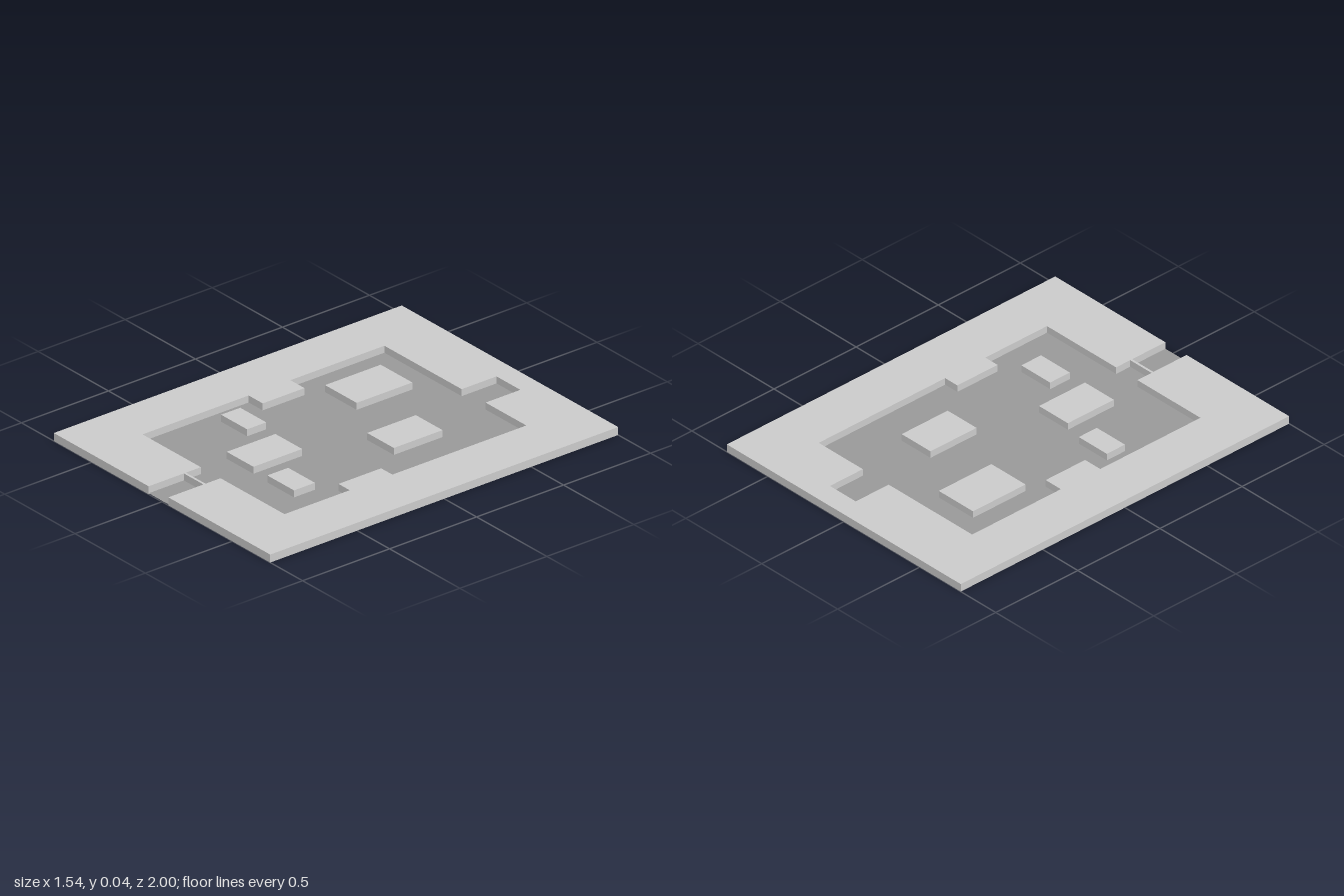
import * as THREE from 'three';

const TOP = 0.04, FLOOR = 0.005;
const grey = new THREE.MeshStandardMaterial({ color: 0xcccccc, side: THREE.DoubleSide });
const dark = new THREE.MeshStandardMaterial({ color: 0x999999, side: THREE.DoubleSide });

// Shell open at the bottom: flat top plus vertical walls around an [x, z] outline
function shell(name, outline) {
  let pts = outline.map(([x, z]) => new THREE.Vector2(x, -z));
  if (THREE.ShapeUtils.isClockWise(pts)) pts = pts.reverse();
  const pos = [];
  for (const tri of THREE.ShapeUtils.triangulateShape(pts, [])) {
    for (const i of tri) pos.push(pts[i].x, TOP, -pts[i].y);
  }
  pts.forEach((a, i) => {
    const b = pts[(i + 1) % pts.length];
    pos.push(a.x, 0, -a.y, b.x, 0, -b.y, b.x, TOP, -b.y);
    pos.push(a.x, 0, -a.y, b.x, TOP, -b.y, a.x, TOP, -a.y);
  });
  const geo = new THREE.BufferGeometry();
  geo.setAttribute('position', new THREE.Float32BufferAttribute(pos, 3));
  geo.computeVertexNormals();
  const mesh = new THREE.Mesh(geo, grey);
  mesh.name = name;
  return mesh;
}

const rect = (x0, x1, z0, z1) => [[x0, z0], [x0, z1], [x1, z1], [x1, z0]];

export function createModel() {
  const group = new THREE.Group();
  group.name = 'walledCourtyard';

  // Raised surround, in two halves either side of the passages
  group.add(shell('rightSurround', [
    [-0.77, -1], [0.04, -1], [0.04, -0.69], [-0.51, -0.69], [-0.51, -0.15], [-0.41, -0.15],
    [-0.41, 0.09], [-0.51, 0.09], [-0.51, 0.7], [-0.095, 0.7], [-0.095, 1], [-0.77, 1],
  ]));
  group.add(shell('leftSurround', [
    [0.77, -1], [0.77, 1], [0.045, 1], [0.045, 0.7], [0.5, 0.7], [0.5, 0.325],
    [0.42, 0.325], [0.42, 0.08], [0.5, 0.08], [0.5, -0.69], [0.21, -0.69], [0.21, -1],
  ]));

  // Plug closing the back passage and thin gate across the front one
  group.add(shell('backPlug', rect(0.04, 0.21, -1, -0.89)));
  group.add(shell('frontGate', rect(-0.095, 0.045, 0.786, 0.798)));

  // Sunken floor
  const floor = new THREE.Mesh(new THREE.PlaneGeometry(1.16, 2).rotateX(-Math.PI / 2), dark);
  floor.position.y = FLOOR;
  floor.name = 'floor';
  group.add(floor);

  // Free-standing blocks: x0, x1, z0, z1
  const blocks = [
    [-0.375, -0.15, -0.56, -0.24], [0.11, 0.3, -0.37, -0.09], [-0.44, -0.255, 0.195, 0.305],
    [-0.14, 0.05, 0.235, 0.515], [0.155, 0.345, 0.4, 0.52],
  ];
  const base = FLOOR - 0.002;
  blocks.forEach(([x0, x1, z0, z1], i) => {
    const block = new THREE.Mesh(new THREE.BoxGeometry(x1 - x0, TOP - base, z1 - z0), grey);
    block.position.set((x0 + x1) / 2, (TOP + base) / 2, (z0 + z1) / 2);
    block.name = `block${i + 1}`;
    group.add(block);
  });
  return group;
}
